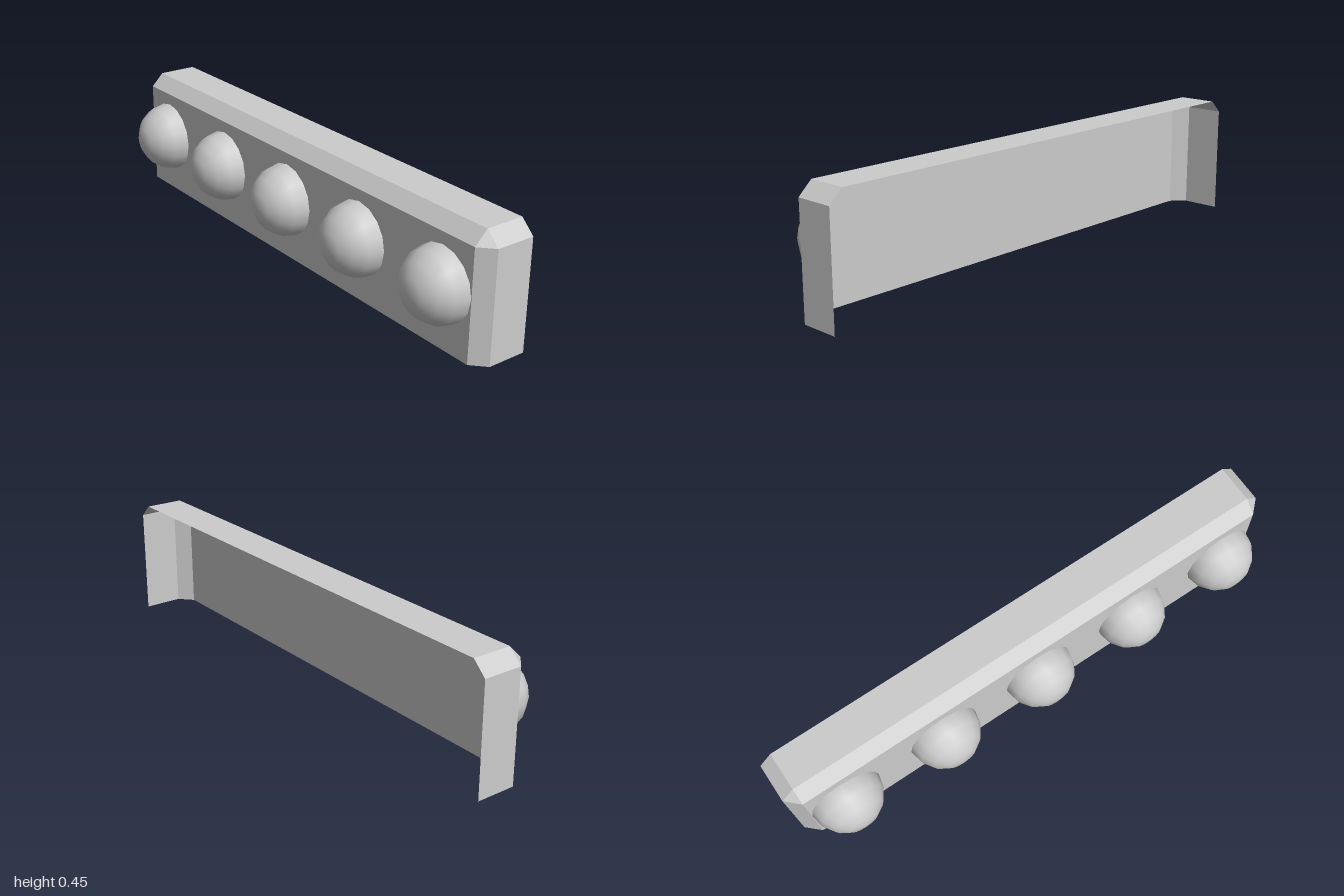
import * as THREE from 'three';

const material = new THREE.MeshStandardMaterial({ color: 0xcccccc });
const shellMaterial = new THREE.MeshStandardMaterial({
  color: 0xcccccc, flatShading: true, side: THREE.DoubleSide,
});

// Open, chamfered shell: no back and no underside
function shellGeometry() {
  const outer = [[-1, 0], [-1, 0.405], [-0.95, 0.453], [0.95, 0.453], [1, 0.405], [1, 0]];
  const inner = [[-0.95, 0], [-0.95, 0.405], [-0.95, 0.405], [0.95, 0.405], [0.95, 0.405], [0.95, 0]];
  const section = (outline, z) => outline.map(([x, y]) => new THREE.Vector3(x, y, z));
  const rings = [section(outer, -0.165), section(outer, -0.018), section(inner, 0.03)];
  const points = [];
  const quad = (a, b, c, d) => {
    points.push(a, b, c);
    if (!c.equals(d)) points.push(a, c, d);
  };
  for (let r = 0; r < 2; r++) {
    const back = rings[r], front = rings[r + 1];
    for (let i = 0; i < 5; i++) {
      // corner facets shrink to a triangle at the front face
      if (front[i].equals(front[i + 1])) points.push(back[i], front[i], back[i + 1]);
      else quad(back[i], front[i], front[i + 1], back[i + 1]);
    }
  }
  const f = rings[2];
  quad(f[0], f[5], f[3], f[1]); // front face
  const geometry = new THREE.BufferGeometry().setFromPoints(points);
  geometry.computeVertexNormals();
  return geometry;
}

export function createModel() {
  const model = new THREE.Group();
  model.name = 'lampBar';

  const shell = new THREE.Mesh(shellGeometry(), shellMaterial);
  shell.name = 'housing';
  model.add(shell);

  // Row of five domes on the front face
  const dome = new THREE.SphereGeometry(0.135, 16, 4, 0, Math.PI * 2, 0, Math.PI / 2);
  dome.rotateX(Math.PI / 2);
  for (let i = -2; i <= 2; i++) {
    const mesh = new THREE.Mesh(dome, material);
    mesh.name = `dome${i + 3}`;
    mesh.position.set(i * 0.407, 0.228, 0.03);
    model.add(mesh);
  }
  return model;
}
